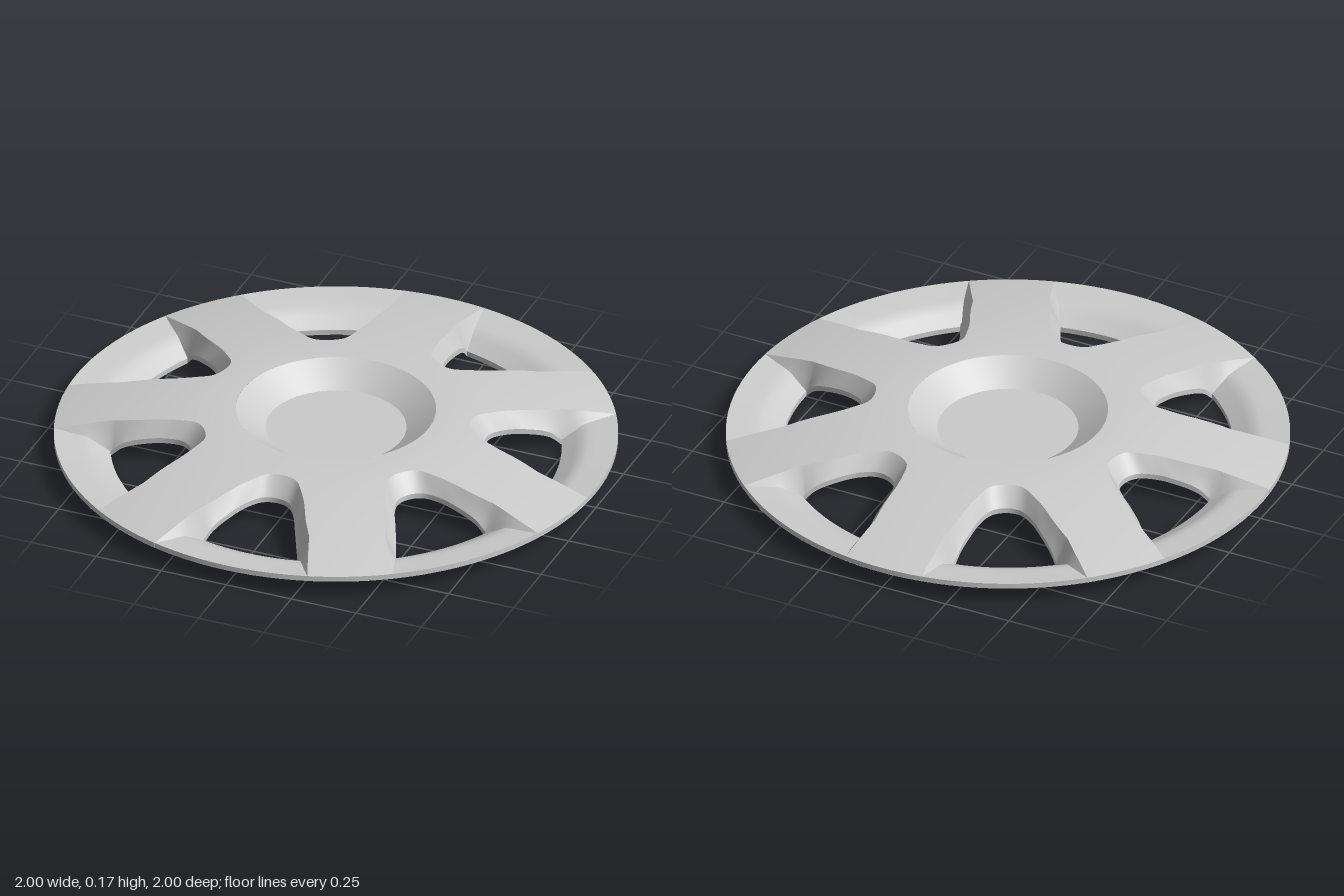
import * as THREE from 'three';
import { toCreasedNormals } from 'three/addons/utils/BufferGeometryUtils.js';

const COUNT = 7;
const STEP = (Math.PI * 2) / COUNT;
const THICK = 0.02;
const HUB_R = 0.355;
const material = new THREE.MeshStandardMaterial({ color: 0xcccccc, side: THREE.DoubleSide });

const polar = (a, r, y) => new THREE.Vector3(r * Math.sin(a), y, r * Math.cos(a));
const lerp = THREE.MathUtils.lerp;

// Height of the domed face, and of the sunken rim lip, at a radius
const domeY = (r) => 0.175 - 0.095 * Math.pow(Math.max(0, (r - HUB_R) / (1 - HUB_R)), 1.6);
const lipY = (r) => (r < 0.88 ? lerp(0.02, 0.068, (r - 0.8) / 0.08) : lerp(0.068, 0.08, (r - 0.88) / 0.12));

// Thin sheet over a (u, v) grid: upper skin, lower skin and an optional closed edge at the last u
function sheet(nu, nv, f, close) {
  const pos = [];
  const index = [];
  const quad = (a, b, c, d) => index.push(a, b, c, b, d, c);
  for (const drop of [0, THICK]) {
    const base = pos.length / 3;
    for (let i = 0; i <= nu; i++)
      for (let j = 0; j <= nv; j++) {
        const p = f(i, j);
        pos.push(p.x, p.y - drop, p.z);
      }
    for (let i = 0; i < nu; i++)
      for (let j = 0; j < nv; j++) {
        const a = base + i * (nv + 1) + j;
        const b = a + nv + 1;
        if (drop) quad(a, a + 1, b, b + 1);
        else quad(a, b, a + 1, b + 1);
      }
  }
  if (close) {
    const base = pos.length / 3;
    for (let j = 0; j <= nv; j++) {
      const p = f(nu, j);
      pos.push(p.x, p.y, p.z, p.x, p.y - THICK, p.z);
    }
    for (let j = 0; j < nv; j++) {
      const a = base + j * 2;
      quad(a, a + 1, a + 2, a + 3);
    }
  }
  const g = new THREE.BufferGeometry();
  g.setAttribute('position', new THREE.Float32BufferAttribute(pos, 3));
  g.setIndex(index);
  g.computeVertexNormals();
  return g;
}

// Half of a window outline, tip to rim, as { a, r, y }; the inner part is a smooth symmetric curve
const INNER = 20;
const OUTER = 8;
function outline(points, outerY) {
  const half = points.map(([x, z, y]) => new THREE.Vector3(x, y, z));
  const mirror = half.slice(1).reverse().map((p) => new THREE.Vector3(-p.x, p.y, p.z));
  const curve = new THREE.CatmullRomCurve3([...mirror, ...half]);
  const out = [];
  for (let i = 0; i <= INNER; i++) {
    const p = curve.getPoint(0.5 + (0.5 * i) / INNER);
    out.push({ a: Math.atan2(p.x, p.z), r: Math.hypot(p.x, p.z), y: p.y });
  }
  const end = out[INNER];
  for (let i = 1; i <= OUTER; i++) {
    const r = lerp(end.r, 1, i / OUTER);
    out.push({ a: lerp(end.a, 0.298, i / OUTER), r, y: outerY(r) });
  }
  return out;
}

export function createModel() {
  const model = new THREE.Group();
  model.name = 'wheelCover';
  const add = (name, geometry, parent = model) => {
    const mesh = new THREE.Mesh(geometry, material);
    mesh.name = name;
    parent.add(mesh);
    return mesh;
  };

  // Window outline on the face, and where its sloping wall ends below
  const upper = outline(
    [[0, 0.485, 0], [0.055, 0.497, 0], [0.095, 0.545, 0], [0.13, 0.6, 0], [0.175, 0.69, 0], [0.222, 0.77, 0]],
    domeY
  );
  upper.forEach((p) => (p.y = domeY(p.r)));
  const lower = outline(
    [[0, 0.535, 0.1], [0.05, 0.55, 0.1], [0.09, 0.6, 0.097], [0.12, 0.66, 0.088], [0.16, 0.74, 0.06], [0.182, 0.779, 0.02]],
    lipY
  );
  const last = INNER + OUTER;

  // Face rows: hub ring first, then following the window edge to the rim
  const rows = [];
  for (let i = 0; i < 5; i++) {
    const r = lerp(HUB_R, upper[0].r, i / 5);
    rows.push({ a: 0, r, y: domeY(r) });
  }
  rows.push(...upper);
  const COLS = 14;
  const spokeGeometry = sheet(rows.length - 1, COLS, (i, j) => {
    const { a, r, y } = rows[i];
    return polar(lerp(a, STEP - a, j / COLS), r, y);
  });

  // Sloping wall around a window, from face edge to lower edge
  const WALL = 3;
  const wallGeometry = sheet(WALL, last * 2, (i, j) => {
    const k = Math.abs(j - last);
    const side = Math.sign(j - last);
    const t = upper[k];
    const b = lower[k];
    return polar(side * t.a, t.r, t.y).lerp(polar(side * b.a, b.r, b.y), i / WALL);
  }, true);

  // Sunken lip at the outer end of a window
  const lipGeometry = sheet(OUTER, 12, (i, j) => {
    const { a, r, y } = lower[last - i];
    return polar(lerp(a, -a, j / 12), r, y);
  }, true);

  for (let k = 0; k < COUNT; k++) {
    const sector = new THREE.Group();
    sector.name = 'sector' + (k + 1);
    sector.rotation.y = k * STEP;
    add('spoke', spokeGeometry, sector);
    add('windowWall', wallGeometry, sector);
    add('rimLip', toCreasedNormals(lipGeometry, 0.35), sector);
    model.add(sector);
  }

  // Outer rim edge
  const rim = add('rimEdge', new THREE.CylinderGeometry(1, 1, THICK, 112, 1, true));
  rim.position.y = 0.07;

  // Recessed dish in the hub
  const dish = [[0, 0.08], [0.255, 0.08], [0.375, 0.155], [HUB_R, 0.175], [0.25, 0.1], [0, 0.1]];
  add('hubDish', toCreasedNormals(
    new THREE.LatheGeometry(dish.map(([r, y]) => new THREE.Vector2(r, y)), 70), 0.4));

  return model;
}
